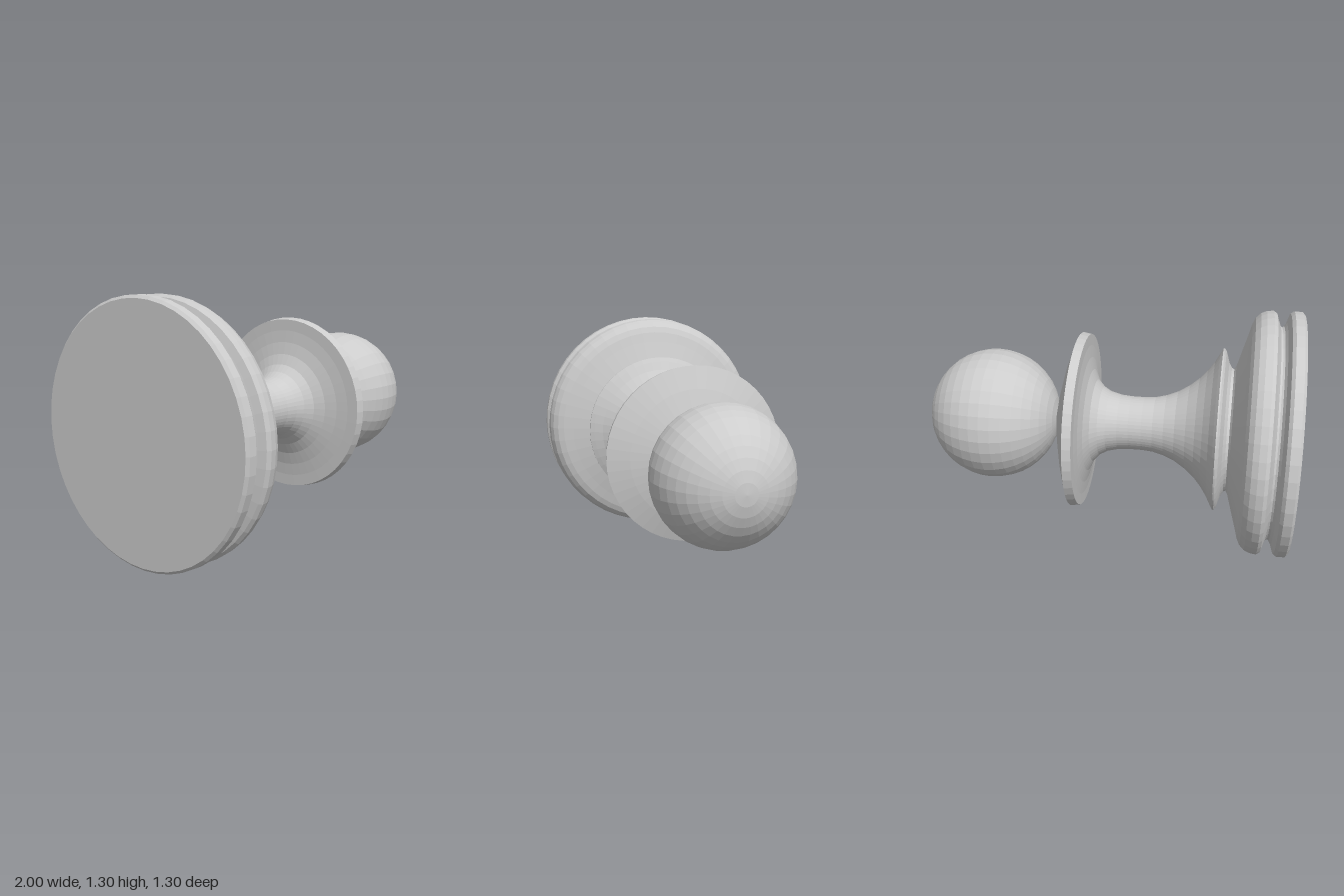
import * as THREE from 'three';

const AXIS_HEIGHT = 0.653;
const SEGMENTS = 48;

export function createModel() {
  const grey = new THREE.MeshStandardMaterial({ color: 0xcccccc, flatShading: true });
  grey.name = 'plain grey';

  const model = new THREE.Group();
  model.name = 'recliningPawn';

  // Turned part: profile pairs are [position along the axis, radius]
  const turned = (name, profile) => {
    const points = profile.map(([along, radius]) => new THREE.Vector2(radius, along));
    const mesh = new THREE.Mesh(new THREE.LatheGeometry(points, SEGMENTS), grey);
    mesh.name = name;
    return mesh;
  };

  // Everything is turned about y, then laid down along +x
  const body = new THREE.Group();
  body.name = 'body';
  body.rotation.z = -Math.PI / 2;
  body.position.y = AXIS_HEIGHT;
  model.add(body);

  // Flat-bottomed foot with a groove and a sloped shoulder
  body.add(turned('base', [
    [-1, 0], [-1, 0.637], [-0.987, 0.651], [-0.945, 0.652], [-0.928, 0.638],
    [-0.912, 0.59], [-0.9, 0.57], [-0.89, 0.566], [-0.88, 0.573], [-0.87, 0.6],
    [-0.858, 0.637], [-0.84, 0.65], [-0.805, 0.646], [-0.775, 0.633],
    [-0.75, 0.608], [-0.735, 0.575], [-0.72, 0.52], [-0.69, 0.42],
    [-0.668, 0.345], [-0.658, 0.328],
  ]));

  // Ridge flowing into the waisted stem
  body.add(turned('stem', [
    [-0.658, 0.328], [-0.645, 0.334], [-0.63, 0.36], [-0.612, 0.42],
    [-0.602, 0.436], [-0.594, 0.436], [-0.58, 0.412], [-0.555, 0.365],
    [-0.52, 0.315], [-0.48, 0.27], [-0.43, 0.228], [-0.37, 0.19], [-0.31, 0.165],
    [-0.25, 0.15], [-0.19, 0.145], [-0.12, 0.145], [-0.06, 0.15], [0, 0.165],
    [0.04, 0.188], [0.075, 0.225], [0.1, 0.28], [0.115, 0.345], [0.122, 0.41],
    [0.124, 0.47],
  ]));

  // Sharp-rimmed collar tapering to the head
  body.add(turned('collar', [
    [0.124, 0.47], [0.17, 0.478], [0.21, 0.36], [0.25, 0.215], [0.285, 0.06], [0.3, 0],
  ]));

  // Ball head
  const head = new THREE.Mesh(new THREE.SphereGeometry(0.358, 32, 20), grey);
  head.name = 'head';
  head.position.y = 0.64;
  body.add(head);

  return model;
}
